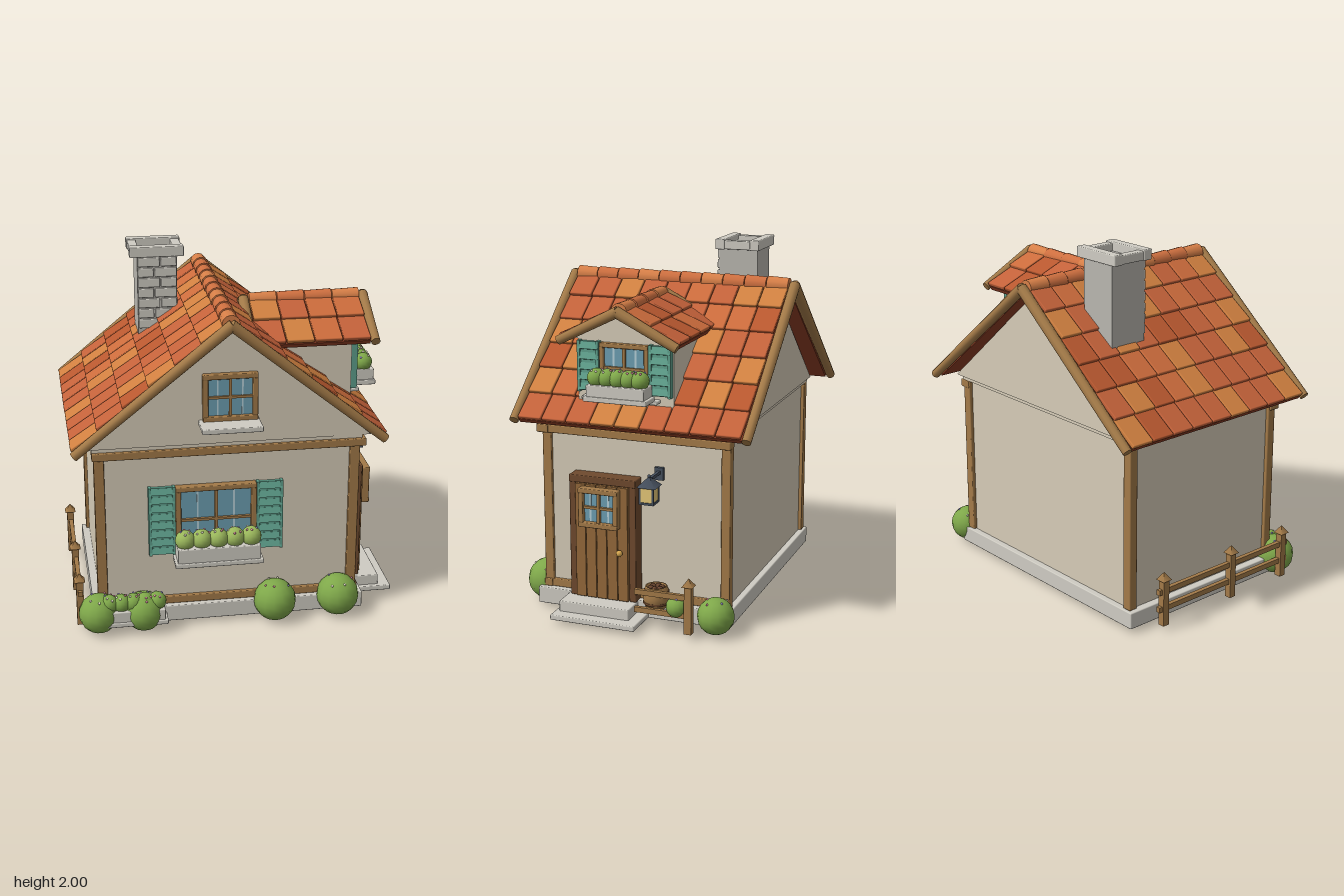
import * as THREE from 'three';
import { RoundedBoxGeometry } from 'three/addons/geometries/RoundedBoxGeometry.js';

const mats = {};
const mat = (c) => (mats[c] ??= new THREE.MeshStandardMaterial({ color: c }));
const WALL = 0xd6ccb8, WOOD = 0xa37a48, DARKWOOD = 0x6f4a2e, STONE = 0xcfccc3, TEAL = 0x5fa08c,
  GLASS = 0x6d9fb2, LEAF = 0x7fa84a, LIGHTLEAF = 0x9bb85c, IRON = 0x46505e;
const TILES = [0xc4623a, 0xcc6c3c, 0xb9582f, 0xd08040, 0xc4623a];
let seed = 7;
const rand = () => (seed = (seed * 16807) % 2147483647) / 2147483647;

function add(parent, name, geo, color, x = 0, y = 0, z = 0) {
  const m = new THREE.Mesh(geo, mat(color));
  m.name = name;
  m.position.set(x, y, z);
  parent.add(m);
  return m;
}
const group = (parent, name, x = 0, y = 0, z = 0, ry = 0) => {
  const g = new THREE.Group();
  g.name = name;
  g.position.set(x, y, z);
  g.rotation.y = ry;
  parent.add(g);
  return g;
};
// Box given by its limits
const box = (p, name, c, x0, x1, y0, y1, z0, z1) =>
  add(p, name, new THREE.BoxGeometry(x1 - x0, y1 - y0, z1 - z0), c, (x0 + x1) / 2, (y0 + y1) / 2, (z0 + z1) / 2);
// Box with softened edges, given by its limits
const soft = (p, name, c, x0, x1, y0, y1, z0, z1, r = 0.006) =>
  add(p, name, new RoundedBoxGeometry(x1 - x0, y1 - y0, z1 - z0, 1, r), c, (x0 + x1) / 2, (y0 + y1) / 2, (z0 + z1) / 2);

function bush(p, x, y, z, r, color = LEAF) {
  const g = group(p, 'bush', x, y, z);
  add(g, 'leaves', new THREE.SphereGeometry(r, 14, 10), color);
  for (let i = 0; i < 5; i++) {
    const a = i * 2.4 + x * 9, e = 0.75 + 0.4 * rand();
    add(g, 'flower', new THREE.SphereGeometry(0.007, 6, 4), [0xe08fa8, 0xf2ead8, 0x9a8fd0][i % 3],
      r * Math.cos(a) * Math.cos(e), r * Math.sin(e), r * Math.sin(a) * Math.cos(e));
  }
}

// Framed four-pane window centred on its origin, facing +z
function windowUnit(p, x, y, z, ry, w, h, t = 0.03, d = 0.035) {
  const g = group(p, 'window', x, y, z, ry), a = w / 2, b = h / 2;
  box(g, 'glass', GLASS, -a + t / 2, a - t / 2, -b + t / 2, b - t / 2, 0, d * 0.4);
  for (const s of [-1, 1]) {
    soft(g, 'frameSide', WOOD, s * (a - t / 2) - t / 2, s * (a - t / 2) + t / 2, -b, b, 0, d);
    soft(g, 'frameRail', WOOD, -a, a, s * (b - t / 2) - t / 2, s * (b - t / 2) + t / 2, 0, d + 0.003);
    box(g, 'glint', 0xb5d0d8, s * a * 0.45 - 0.005, s * a * 0.45 + 0.005, -b + t, b - t, 0, d * 0.45);
  }
  box(g, 'mullion', WOOD, -0.008, 0.008, -b + t, b - t, 0, d * 0.8);
  box(g, 'crossBar', WOOD, -a + t, a - t, -0.007, 0.007, 0, d * 0.75);
}

// Louvred shutter facing +z
function shutter(p, x, y, w, h) {
  const g = group(p, 'shutter', x, y, 0);
  box(g, 'panel', TEAL, -w / 2 + 0.005, w / 2 - 0.005, -h / 2 + 0.005, h / 2 - 0.005, 0, 0.02);
  for (const s of [-1, 1]) box(g, 'stile', TEAL, s * (w / 2 - 0.008) - 0.008, s * (w / 2 - 0.008) + 0.008, -h / 2, h / 2, 0, 0.036);
  const n = Math.round(h / 0.052);
  for (let i = 0; i < n; i++) {
    const slat = box(g, 'slat', TEAL, -w / 2 + 0.005, w / 2 - 0.005, -0.019, 0.019, -0.006, 0.006);
    slat.position.set(0, -h / 2 + (i + 0.5) * h / n, 0.027);
    slat.rotation.x = -0.35;
  }
}

// Planter box with a row of small bushes, back at z = 0
function planter(p, x, y, z, ry, w, h, d, n, r, color) {
  const g = group(p, 'planter', x, y, z, ry);
  soft(g, 'trough', STONE, -w / 2 + 0.015, w / 2 - 0.015, 0.02, h, 0, d);
  soft(g, 'ledge', STONE, -w / 2, w / 2, 0, 0.028, 0, d + 0.008);
  for (let i = 0; i < n; i++) bush(g, (i / (n - 1) - 0.5) * (w - 2 * r - 0.01), h + r * 0.6, d * 0.55, r, color);
}

// Tiled gable roof: ridge along z at the origin, slopes falling to both sides
function tiledRoof(p, name, x, y, z, ry, half, rise, len, rows, cols, caps, capR) {
  const g = group(p, name, x, y, z, ry), ang = Math.atan2(rise, half), L = Math.hypot(half, rise);
  const put = (m, s, d, h, tilt = 0) => {
    m.position.x = s * (Math.cos(ang) * d + Math.sin(ang) * h);
    m.position.y = -Math.sin(ang) * d + Math.cos(ang) * h;
    m.rotation.z = -s * (ang - tilt);
  };
  const tl = L / rows, tw = len / cols;
  for (const s of [-1, 1]) {
    put(add(g, 'roofDeck', new THREE.BoxGeometry(L, 0.025, len), 0x8c3d24), s, L / 2, -0.006);
    for (let i = 0; i < rows; i++) for (let j = 0; j < cols; j++) {
      const tile = add(g, 'tile', new RoundedBoxGeometry(tl * 1.06, 0.024, tw - 0.006, 1, 0.006),
        TILES[Math.floor(rand() * 5)], 0, 0, (j + 0.5) * tw - len / 2);
      put(tile, s, (i + 0.5) * tl, 0.017 + 0.004 * rand(), 0.09);
    }
    // Round barge logs at both ends
    for (const e of [-1, 1]) {
      const log = add(g, 'bargeLog', new THREE.CylinderGeometry(0.031, 0.026, L + 0.02, 10), WOOD, 0, 0, e * (len / 2 + 0.026));
      put(log, s, L / 2, 0.005);
      log.rotation.z = s * (Math.PI / 2 - ang);
    }
  }
  for (let i = 0; i < caps; i++) {
    const cap = add(g, 'ridgeCap', new THREE.CylinderGeometry(capR, capR * 0.88, len / caps - 0.006, 12),
      i % 3 ? 0xcf7040 : 0xd88048, 0, 0.004, (i + 0.5) * len / caps - len / 2);
    cap.rotation.x = Math.PI / 2;
  }
}

// Triangular prism: apex at the origin, centred along z
function gable(p, name, x, y, z, ry, half, rise, depth) {
  const s = new THREE.Shape([new THREE.Vector2(0, 0), new THREE.Vector2(-half, -rise), new THREE.Vector2(half, -rise)]);
  const geo = new THREE.ExtrudeGeometry(s, { depth, bevelEnabled: false }).translate(0, 0, -depth / 2);
  add(p, name, geo, WALL, x, y, z).rotation.y = ry;
}

function fencePost(p, x, z) {
  box(p, 'fencePost', WOOD, x - 0.02, x + 0.02, 0.03, 0.3, z - 0.02, z + 0.02);
  const tip = add(p, 'fencePostTip', new THREE.ConeGeometry(0.043, 0.045, 4), WOOD, x, 0.32, z);
  tip.rotation.y = Math.PI / 4;
}

export function createModel() {
  const house = new THREE.Group();
  house.name = 'cottage';
  const CX = -0.055;

  // Foundation, walls and timber frame
  soft(house, 'foundation', STONE, -0.815, 0.715, 0.025, 0.12, -0.57, 0.565);
  box(house, 'walls', WALL, -0.77, 0.66, 0.11, 1.08, -0.535, 0.515);
  for (const x of [-0.762, 0.652]) for (const z of [-0.53, 0.51])
    soft(house, 'cornerPost', WOOD, x - 0.028, x + 0.028, 0.12, 1.07, z - 0.026, z + 0.026);
  for (const [y0, y1, o] of [[0.12, 0.165, 0], [1.02, 1.065, 0.02]]) {
    soft(house, 'frontBeam', WOOD, -0.78 - o, 0.69 + o, y0, y1, 0.49, 0.538 + o);
    soft(house, 'sideBeam', WOOD, 0.63, 0.682 + o, y0, y1, -0.55 - o / 2, 0.53);
  }
  box(house, 'wallPlate', WALL, -0.8, 0.69, 1.065, 1.09, -0.555, 0.54);
  gable(house, 'gableWall', CX, 1.76, -0.008, 0, 0.79, 0.675, 1.11);
  tiledRoof(house, 'mainRoof', CX, 1.775, -0.012, 0, 0.835, 0.675, 1.275, 6, 9, 10, 0.05);

  // Chimney with front bricks and an open cap
  box(house, 'chimneyShaft', 0xb9b6af, -0.465, -0.24, 1.36, 1.95, -0.4, -0.17);
  for (let r = 0; r < 7; r++) {
    const split = r % 2 ? -0.37 : -0.335, y = 1.525 + r * 0.06;
    soft(house, 'chimneyBrick', STONE, -0.462, split - 0.004, y, y + 0.053, -0.18, -0.157);
    soft(house, 'chimneyBrick', STONE, split + 0.004, -0.243, y, y + 0.053, -0.18, -0.157);
  }
  for (const z of [-0.39, -0.185]) soft(house, 'chimneyCap', STONE, -0.508, -0.2, 1.94, 2, z - 0.028, z + 0.028);
  for (const x of [-0.478, -0.23]) soft(house, 'chimneyCap', STONE, x - 0.025, x + 0.025, 1.942, 1.992, -0.38, -0.19);

  // Dormer
  box(house, 'dormerWalls', WALL, 0.1, 0.67, 1.15, 1.58, -0.235, 0.315);
  gable(house, 'dormerGable', 0.39, 1.715, 0.04, Math.PI / 2, 0.3, 0.16, 0.57);
  tiledRoof(house, 'dormerRoof', 0.447, 1.725, 0.04, Math.PI / 2, 0.325, 0.165, 0.63, 2, 4, 4, 0.045);
  const dormer = group(house, 'dormerFront', 0.67, 1.41, 0.04, Math.PI / 2);
  windowUnit(dormer, 0, 0, 0, 0, 0.28, 0.27, 0.025);
  for (const s of [-1, 1]) shutter(dormer, s * 0.205, 0, 0.125, 0.28);
  soft(dormer, 'sill', STONE, -0.235, 0.2, -0.175, -0.155, 0, 0.06);
  planter(dormer, 0, -0.16, 0.035, 0, 0.36, 0.09, 0.125, 5, 0.052, LEAF);

  // Front windows
  windowUnit(house, -0.05, 1.355, 0.545, 0, 0.3, 0.27);
  soft(house, 'atticSill', STONE, -0.22, 0.11, 1.195, 1.225, 0.54, 0.695);
  const front = group(house, 'frontWindow', -0.125, 0.635, 0.515);
  windowUnit(front, 0, 0, 0, 0, 0.45, 0.41, 0.03, 0.045);
  for (const s of [-1, 1]) shutter(front, s * 0.3, 0, 0.148, 0.41);
  planter(front, 0, -0.225, 0.04, 0, 0.49, 0.11, 0.125, 5, 0.056, LIGHTLEAF);

  // Door with frame, planks, window and knob
  for (const z of [0.33, -0.02]) soft(house, 'doorJamb', DARKWOOD, 0.65, 0.745, 0.115, 0.81, z - 0.02, z + 0.02);
  soft(house, 'doorLintel', DARKWOOD, 0.65, 0.75, 0.77, 0.812, -0.04, 0.35);
  box(house, 'doorBack', DARKWOOD, 0.65, 0.715, 0.115, 0.78, -0.02, 0.33);
  for (let i = 0; i < 5; i++)
    soft(house, 'doorPlank', 0x94693b, 0.7, 0.762, 0.12, 0.77, i * 0.062, i * 0.062 + 0.06, 0.004);
  windowUnit(house, 0.762, 0.65, 0.155, Math.PI / 2, 0.23, 0.22, 0.028, 0.05);
  add(house, 'doorKnob', new THREE.SphereGeometry(0.018, 10, 8), 0xd8a850, 0.785, 0.405, 0.04);
  soft(house, 'upperStep', STONE, 0.69, 0.86, 0.05, 0.115, -0.04, 0.37);
  soft(house, 'lowerStep', STONE, 0.69, 0.93, 0.025, 0.055, -0.1, 0.395);

  // Wall lantern
  const lamp = group(house, 'lantern', 0.82, 0, -0.15);
  box(lamp, 'bracket', IRON, -0.16, 0, 0.845, 0.862, -0.009, 0.009);
  box(lamp, 'wallPlate', IRON, -0.165, -0.14, 0.81, 0.88, -0.025, 0.025);
  add(lamp, 'lampRoof', new THREE.ConeGeometry(0.075, 0.055, 4), IRON, 0, 0.845, 0).rotation.y = Math.PI / 4;
  add(lamp, 'lampFinial', new THREE.SphereGeometry(0.01, 8, 6), IRON, 0, 0.873, 0);
  box(lamp, 'lampGlass', 0xe6c878, -0.04, 0.04, 0.735, 0.82, -0.036, 0.036);
  box(lamp, 'lampBase', IRON, -0.046, 0.046, 0.725, 0.737, -0.042, 0.042);
  for (const x of [-1, 1]) for (const z of [-1, 1])
    box(lamp, 'lampBar', IRON, x * 0.04 - 0.005, x * 0.04 + 0.005, 0.73, 0.82, z * 0.037 - 0.005, z * 0.037 + 0.005);

  // Fences
  for (const z of [-0.4, 0.11, 0.52]) fencePost(house, -0.89, z);
  fencePost(house, 0.852, -0.385);
  for (const y of [0.128, 0.23]) {
    box(house, 'fenceRail', WOOD, -0.9, -0.875, y - 0.015, y + 0.015, -0.44, 0.56);
    box(house, 'fenceRail', WOOD, 0.84, 0.862, y - 0.015, y + 0.015, -0.4, -0.075);
  }

  // Barrel with soil and hoops
  const profile = [[0, 0], [0.058, 0], [0.07, 0.035], [0.073, 0.06], [0.07, 0.085], [0.06, 0.12], [0.052, 0.12], [0.05, 0.1], [0, 0.1]];
  const barrel = group(house, 'barrel', 0.785, 0.13, -0.175);
  add(barrel, 'staves', new THREE.LatheGeometry(profile.map(([a, b]) => new THREE.Vector2(a, b)), 14), WOOD);
  for (const y of [0.03, 0.09]) add(barrel, 'hoop', new THREE.CylinderGeometry(0.072, 0.072, 0.012, 14, 1), DARKWOOD, 0, y, 0);
  for (let i = 0; i < 6; i++) add(barrel, 'soil', new THREE.SphereGeometry(0.02, 6, 5), 0x6a4630, 0.03 * Math.cos(i * 1.05), 0.105, 0.03 * Math.sin(i * 1.05));

  // Ground bushes and front planter
  for (const [x, y, z, r] of [[-0.79, 0.115, 0.575, 0.113], [-0.54, 0.115, 0.585, 0.112], [0.205, 0.12, 0.575, 0.12],
    [0.57, 0.12, 0.565, 0.12], [0.755, 0.11, -0.505, 0.102], [0.83, 0.165, -0.31, 0.06]]) bush(house, x, y, z, r);
  planter(house, -0.6, 0.06, 0.535, 0, 0.38, 0.09, 0.12, 5, 0.052, LEAF);
  return house;
}
